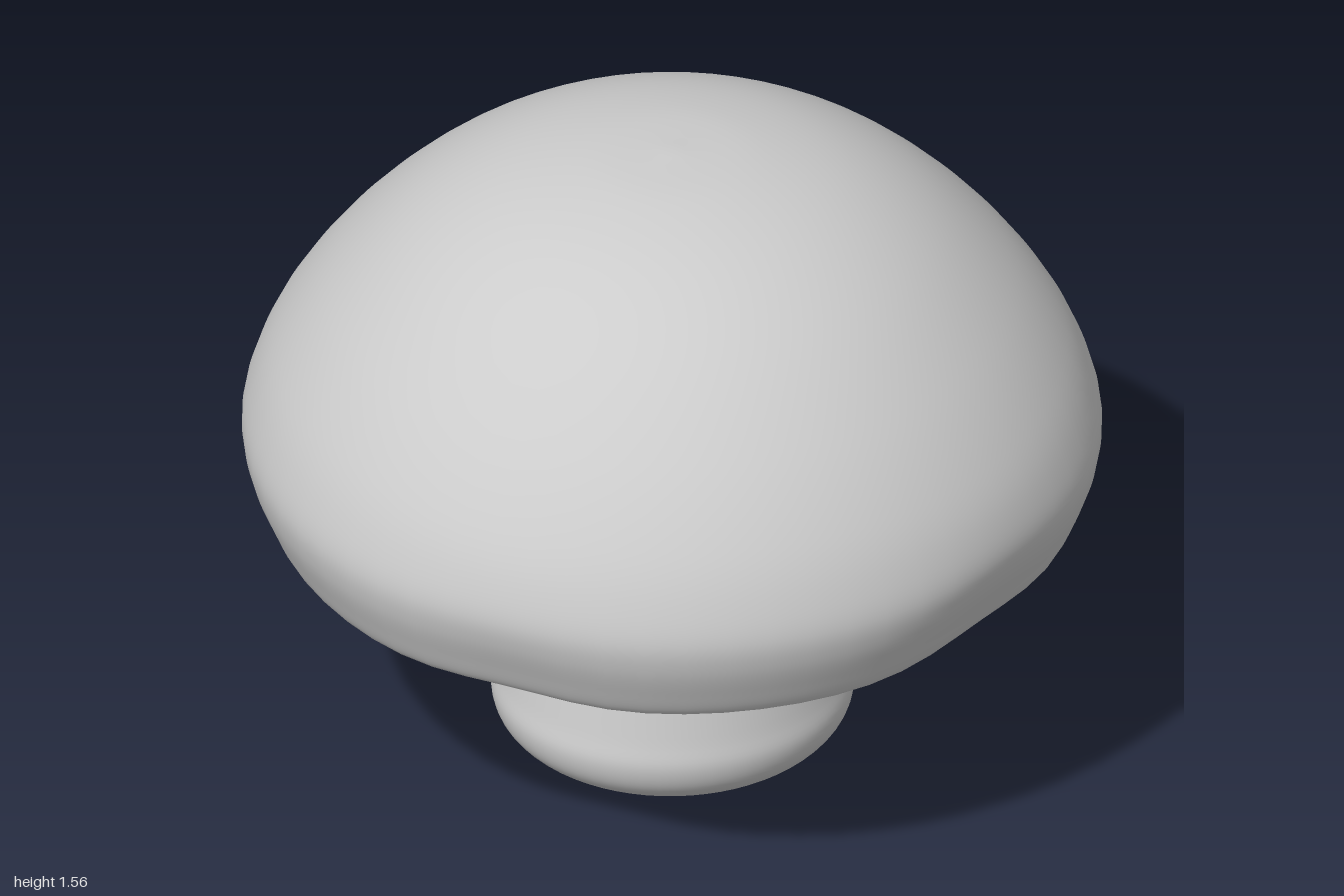
import * as THREE from 'three';
import { mergeVertices } from 'three/addons/utils/BufferGeometryUtils.js';

const material = new THREE.MeshStandardMaterial({ color: 0xcccccc });

// Smooth turned shape from [radius, height] pairs, with every vertex moved by a rule
function turned(name, profile, steps, warp) {
  const curve = new THREE.CatmullRomCurve3(profile.map(([r, y]) => new THREE.Vector3(r, y, 0)), false, 'centripetal');
  const points = curve.getPoints(steps).map((p) => new THREE.Vector2(Math.max(0, p.x), p.y));
  let geometry = new THREE.LatheGeometry(points, 64);
  const pos = geometry.attributes.position;
  const v = new THREE.Vector3();
  for (let i = 0; i < pos.count; i++) {
    warp(v.fromBufferAttribute(pos, i));
    pos.setXYZ(i, v.x, v.y, v.z);
  }
  // Weld the seam so the shading is continuous
  geometry.deleteAttribute('uv');
  geometry.deleteAttribute('normal');
  geometry = mergeVertices(geometry, 1e-4);
  geometry.computeVertexNormals();
  const mesh = new THREE.Mesh(geometry, material);
  mesh.name = name;
  return mesh;
}

// Bell-shaped weight around a direction, seen from above
function near(angle, centre, width) {
  const d = Math.atan2(Math.sin(angle - centre), Math.cos(angle - centre));
  return Math.exp(-((d / width) ** 2));
}

export function createModel() {
  const group = new THREE.Group();
  group.name = 'mushroom';

  // Cap: hollow underside, tucked rim and domed top
  const capProfile = [
    [0, 0.74], [0.3, 0.725], [0.5, 0.685], [0.7, 0.635], [0.83, 0.61], [0.89, 0.605], [0.915, 0.62],
    [0.95, 0.69], [0.978, 0.77], [0.985, 0.84], [0.962, 0.93], [0.91, 1.04], [0.79, 1.205],
    [0.61, 1.375], [0.42, 1.485], [0.21, 1.545], [0, 1.562],
  ];
  group.add(turned('cap', capProfile, 110, (v) => {
    const r = Math.hypot(v.x, v.z);
    const angle = Math.atan2(v.x, v.z);
    const low = 1 - THREE.MathUtils.smoothstep(v.y, 0.65, 1.0);
    const rim = THREE.MathUtils.smoothstep(r, 0.6, 0.9);
    // Shallow dents at the front corners, and a fuller, lower rim at the back
    const dent = near(angle, 0.68, 0.26) + 0.7 * near(angle, -0.65, 0.22);
    const back = near(angle, Math.PI, 0.45);
    const swell = 1 + low * rim * (0.035 * back - 0.025 * dent);
    v.x *= swell;
    v.z *= swell * 1.013;
    v.y += low * rim * (0.016 * dent - 0.025 * back);
  }));

  // Stem: tapered, with a rounded foot
  const stemProfile = [
    [0, 0.005], [0.15, 0.005], [0.29, 0.005], [0.35, 0.022], [0.4, 0.07], [0.418, 0.13],
    [0.405, 0.2], [0.365, 0.4], [0.325, 0.6], [0.295, 0.74], [0.26, 0.79], [0, 0.8],
  ];
  group.add(turned('stem', stemProfile, 60, (v) => {
    v.z = v.z * 0.96 + 0.008;
    v.y = Math.max(0, v.y);
  }));

  return group;
}
